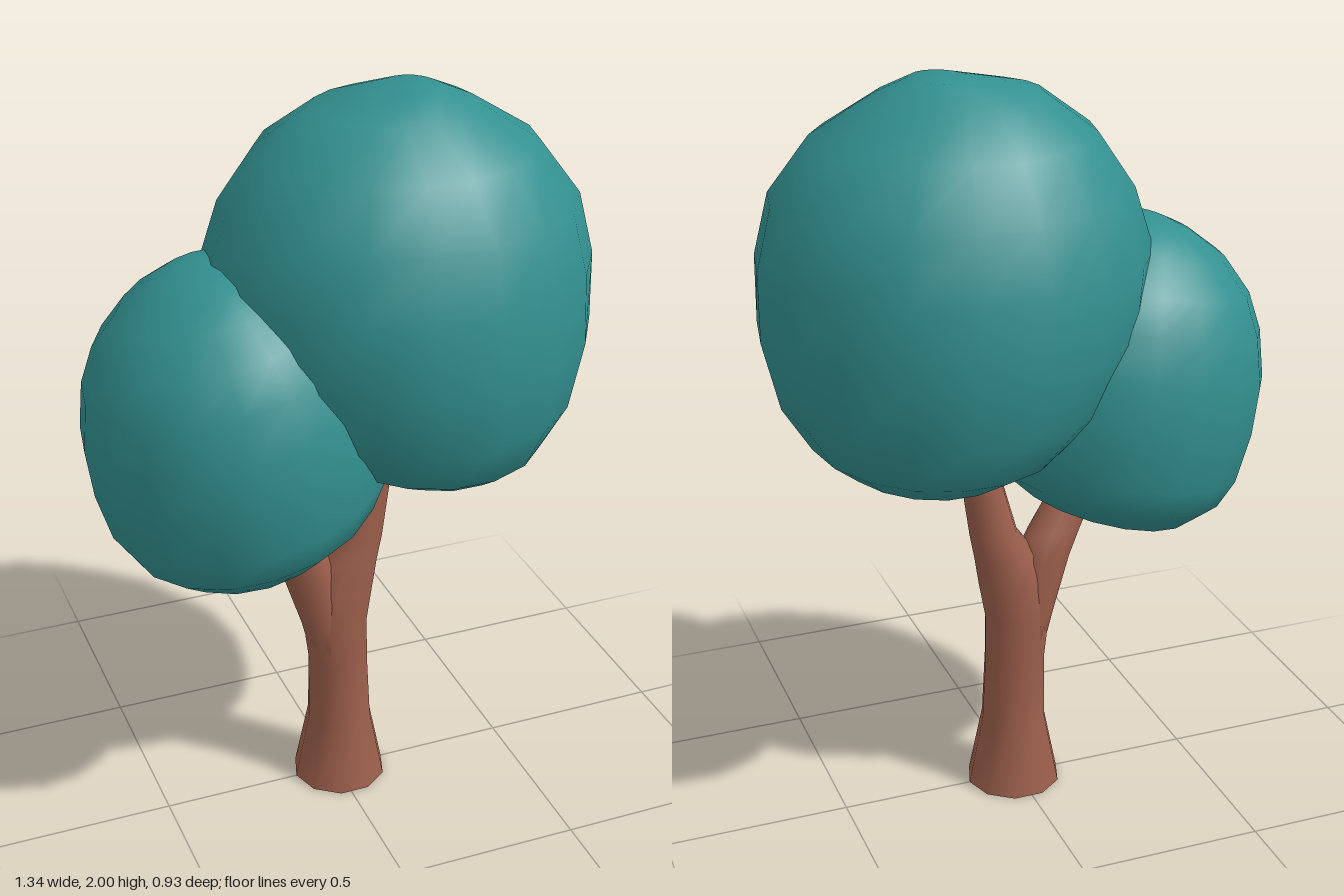
import * as THREE from 'three';

// Stacked elliptical rings, bottom to top: [y, left x, right x, half depth, z offset]
function ringSolid(name, rings, sides, material, closedBottom) {
  const pos = [], index = [];
  const at = (i, j) => i * sides + (j % sides);
  for (const [y, x0, x1, rz, cz = 0] of rings) {
    for (let j = 0; j < sides; j++) {
      const a = (j / sides) * Math.PI * 2;
      pos.push((x0 + x1) / 2 + Math.cos(a) * (x1 - x0) / 2, y, cz + Math.sin(a) * rz);
    }
  }
  const last = rings.length - 1;
  for (let i = 0; i < last; i++) {
    for (let j = 0; j < sides; j++) {
      index.push(at(i, j), at(i + 1, j), at(i, j + 1));
      index.push(at(i + 1, j), at(i + 1, j + 1), at(i, j + 1));
    }
  }
  const addCentre = ([y, x0, x1, , cz = 0]) => pos.push((x0 + x1) / 2, y, cz) / 3 - 1;
  const top = addCentre(rings[last]);
  for (let j = 0; j < sides; j++) index.push(at(last, j), top, at(last, j + 1));
  if (closedBottom) {
    const bottom = addCentre(rings[0]);
    for (let j = 0; j < sides; j++) index.push(at(0, j), at(0, j + 1), bottom);
  }
  const geo = new THREE.BufferGeometry();
  geo.setAttribute('position', new THREE.Float32BufferAttribute(pos, 3));
  geo.setIndex(index);
  geo.computeVertexNormals();
  const mesh = new THREE.Mesh(geo, material);
  mesh.name = name;
  return mesh;
}

export function createModel() {
  const tree = new THREE.Group();
  tree.name = 'tree';
  const bark = new THREE.MeshStandardMaterial({ color: 0x9c5f4c, side: THREE.DoubleSide });
  const leaves = new THREE.MeshStandardMaterial({ color: 0x339090 });

  // Flared trunk, open underneath, running up into the right-hand limb
  tree.add(ringSolid('trunk', [
    [0, -0.12, 0.14, 0.13],
    [0.2, -0.08, 0.1, 0.09],
    [0.39, -0.078, 0.09, 0.085],
    [0.52, -0.095, 0.09, 0.083],
    [0.62, -0.09, 0.108, 0.077],
    [0.7, -0.05, 0.12, 0.068],
    [0.77, 0, 0.133, 0.06],
    [0.93, 0.045, 0.155, 0.048],
    [1.0, 0.08, 0.163, 0.045],
    [1.06, 0.1, 0.17, 0.038],
  ], 10, bark, false));

  // Side limb forking away from the trunk
  tree.add(ringSolid('branch', [
    [0.4, -0.07, 0.04, 0.07],
    [0.52, -0.1, 0.02, 0.075],
    [0.68, -0.152, 0, 0.065],
    [0.745, -0.187, -0.035, 0.055, 0.01],
    [0.83, -0.235, -0.1, 0.05, 0.03],
    [0.89, -0.26, -0.15, 0.04, 0.03],
  ], 10, bark, true));

  // Main crown
  tree.add(ringSolid('largeCrown', [
    [0.987, 0.16, 0.39, 0.13],
    [1.02, 0.02, 0.475, 0.29],
    [1.08, -0.1, 0.55, 0.38],
    [1.2, -0.23, 0.625, 0.44],
    [1.38, -0.315, 0.668, 0.47],
    [1.56, -0.34, 0.668, 0.452],
    [1.72, -0.29, 0.628, 0.405],
    [1.86, -0.195, 0.52, 0.32],
    [1.96, -0.06, 0.36, 0.18],
    [2.0, 0.13, 0.27, 0.085],
  ], 18, leaves, true));

  // Lower crown, leaning away from the trunk
  const smallCrown = ringSolid('smallCrown', [
    [-0.372, -0.14, 0.06, 0.1],
    [-0.347, -0.3, 0.19, 0.27],
    [-0.28, -0.368, 0.305, 0.345],
    [-0.2, -0.4, 0.36, 0.375],
    [-0.064, -0.408, 0.395, 0.39],
    [0.067, -0.395, 0.395, 0.385],
    [0.19, -0.354, 0.37, 0.35],
    [0.28, -0.3, 0.32, 0.3],
    [0.36, -0.21, 0.23, 0.22],
    [0.405, -0.11, 0.14, 0.14],
    [0.42, -0.05, 0.07, 0.07],
  ], 18, leaves, true);
  smallCrown.position.set(-0.27, 1.19, 0);
  smallCrown.rotation.z = 0.243;
  tree.add(smallCrown);

  return tree;
}
